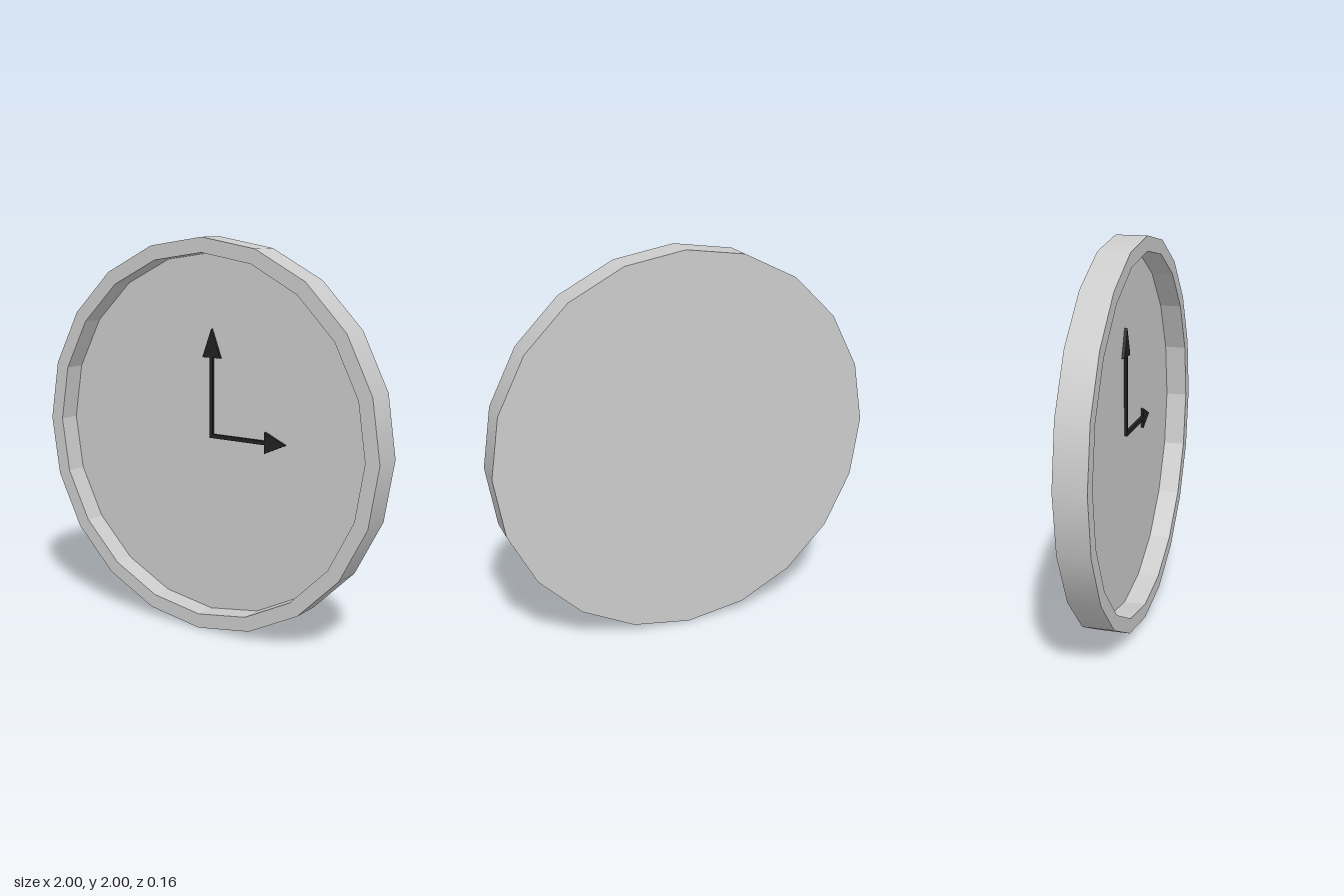
import * as THREE from 'three';

const SIDES = 20, OUTER = 1, INNER = 0.925;
const FRONT = 0.08, BACK = -0.08, FLOOR = -0.033;

export function createModel() {
  const model = new THREE.Group();
  model.name = 'wallClock';
  const grey = new THREE.MeshStandardMaterial({ color: 0xcccccc });
  const facetedGrey = new THREE.MeshStandardMaterial({ color: 0xcccccc, flatShading: true, side: THREE.DoubleSide });
  const black = new THREE.MeshStandardMaterial({ color: 0x222222 });

  function add(parent, name, geometry, material, z = 0) {
    const mesh = new THREE.Mesh(geometry, material);
    mesh.name = name;
    mesh.position.z = z;
    parent.add(mesh);
  }

  // open band of the polygon, running along z
  const band = (radius, z0, z1) =>
    new THREE.CylinderGeometry(radius, radius, z1 - z0, SIDES, 1, true)
      .rotateX(Math.PI / 2).translate(0, 0, (z0 + z1) / 2);

  // case: smooth outer wall, flat rim, faceted recess and closed back
  const body = new THREE.Group();
  body.name = 'case';
  body.position.y = 1;
  body.rotation.z = -0.01;
  model.add(body);
  add(body, 'outerWall', band(OUTER, BACK, FRONT), grey);
  add(body, 'innerWall', band(INNER, FLOOR, FRONT), facetedGrey);
  add(body, 'frontRim', new THREE.RingGeometry(INNER, OUTER, SIDES), grey, FRONT);
  add(body, 'dial', new THREE.CircleGeometry(INNER, SIDES), grey, FLOOR);
  add(body, 'backPlate', new THREE.CircleGeometry(OUTER, SIDES).rotateY(Math.PI), grey, BACK);

  // arrow-shaped hand pointing up from the centre
  function hand(shaft, tip, halfShaft, halfHead) {
    const shape = new THREE.Shape([
      [-halfShaft, -halfShaft], [halfShaft, -halfShaft], [halfShaft, shaft], [halfHead, shaft],
      [0, tip], [-halfHead, shaft], [-halfShaft, shaft],
    ].map(([x, y]) => new THREE.Vector2(x, y)));
    return new THREE.ExtrudeGeometry(shape, { depth: 0.015, bevelEnabled: false });
  }

  const hands = new THREE.Group();
  hands.name = 'hands';
  hands.position.set(0, 1, FLOOR);
  model.add(hands);
  add(hands, 'minuteHand', hand(0.4, 0.545, 0.008, 0.054), black);
  add(hands, 'hourHand', hand(0.32, 0.44, 0.01, 0.054).rotateZ(-Math.PI / 2), black, 0.001);

  return model;
}
